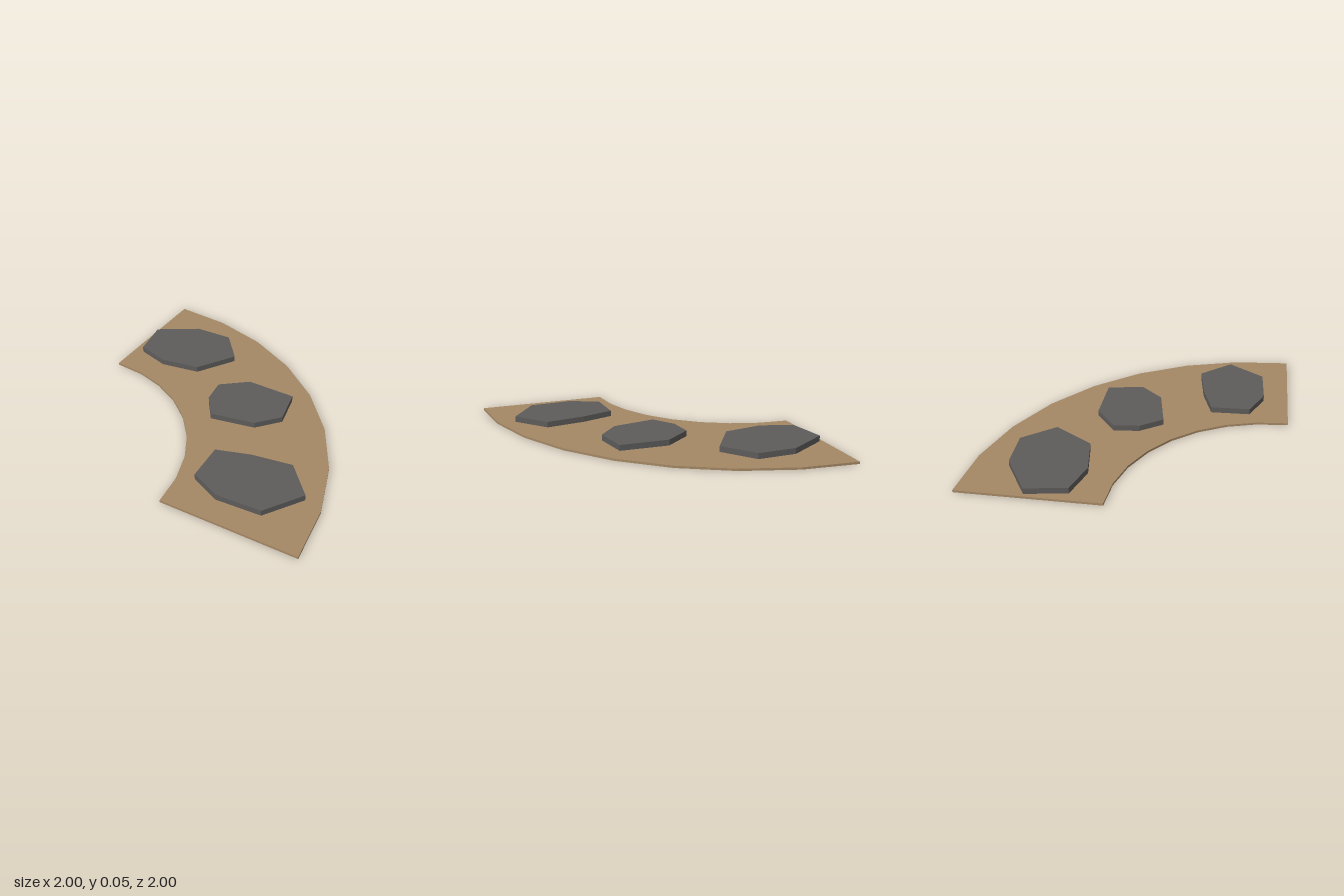
import * as THREE from 'three';

const PATH_HEIGHT = 0.015;
const STONE_TOP = 0.055;

// Outlines of the stepping stones, as [x, z] corners
const STONES = [
  [[-0.975, -0.57], [-0.70, -0.735], [-0.43, -0.74], [-0.26, -0.53], [-0.43, -0.27], [-0.705, -0.23], [-0.93, -0.30]],
  [[-0.185, -0.16], [-0.005, -0.30], [0.335, -0.29], [0.38, -0.045], [0.245, 0.105], [-0.06, 0.16], [-0.165, 0.01]],
  [[0.155, 0.47], [0.38, 0.40], [0.655, 0.36], [0.84, 0.57], [0.67, 0.815], [0.37, 0.83], [0.165, 0.735]],
];

// Upright slab from an [x, z] outline, between two heights
function slab(outline, bottom, top, material, name) {
  const shape = new THREE.Shape(outline.map(([x, z]) => new THREE.Vector2(x, -z)));
  const geometry = new THREE.ExtrudeGeometry(shape, { depth: top - bottom, bevelEnabled: false });
  geometry.rotateX(-Math.PI / 2).translate(0, bottom, 0);
  const mesh = new THREE.Mesh(geometry, material);
  mesh.name = name;
  return mesh;
}

// Quarter-circle points around the corner (-1, 1)
function quarterArc(radius, segments = 8) {
  return Array.from({ length: segments + 1 }, (_, i) => {
    const a = (i / segments) * Math.PI / 2;
    return [-1 + radius * Math.sin(a), 1 - radius * Math.cos(a)];
  });
}

export function createModel() {
  const dirt = new THREE.MeshStandardMaterial({ color: 0xa58865 });
  dirt.name = 'dirt brown';
  const stone = new THREE.MeshStandardMaterial({ color: 0x5d5c5b });
  stone.name = 'stone grey';
  dirt.flatShading = stone.flatShading = true;

  const group = new THREE.Group();
  group.name = 'curvedStonePath';

  // Curved strip of ground
  const outline = [...quarterArc(2), ...quarterArc(1.08).reverse()];
  group.add(slab(outline, 0, PATH_HEIGHT, dirt, 'curvedPath'));

  // Stepping stones resting on it
  STONES.forEach((points, i) => {
    group.add(slab(points, PATH_HEIGHT, STONE_TOP, stone, `steppingStone${i + 1}`));
  });
  return group;
}
